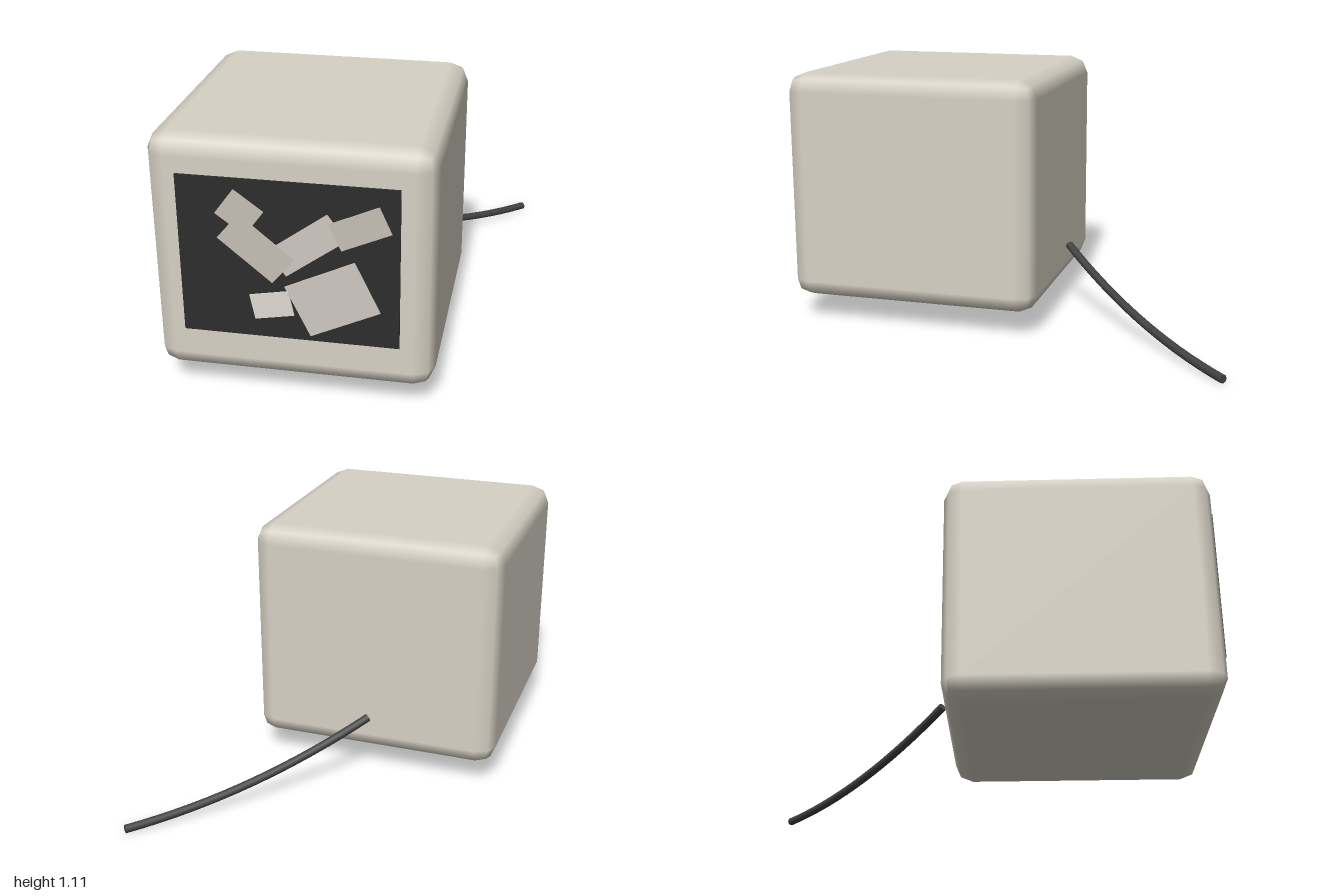
import * as THREE from 'three';
import { RoundedBoxGeometry } from 'three/addons/geometries/RoundedBoxGeometry.js';

function material(name, color, side = THREE.FrontSide) {
  const m = new THREE.MeshStandardMaterial({ color, side });
  m.name = name;
  return m;
}

export function createModel() {
  const model = new THREE.Group();
  model.name = 'monitor';

  const casing = material('casing beige', 0xd6d1c4);
  const glass = material('screen black', 0x2d2d2d);
  const rubber = material('cable grey', 0x424242, THREE.DoubleSide);
  const paperDark = material('shard warm grey', 0xc4c0b5);
  const paperMid = material('shard pale grey', 0xcec8c0);
  const paperLight = material('shard off white', 0xdfdad1);

  function add(name, geometry, mat, x = 0, y = 0, z = 0) {
    const mesh = new THREE.Mesh(geometry, mat);
    mesh.name = name;
    mesh.position.set(x, y, z);
    model.add(mesh);
    return mesh;
  }

  // Softly bevelled casing
  add('casing', new RoundedBoxGeometry(1.112, 1.004, 1.117, 1, 0.08), casing, -0.129, 0.606, 0.398);

  // Thin screen floating just before the casing
  add('screen', new THREE.BoxGeometry(0.851, 0.664, 0.008), glass, -0.13, 0.634, 0.965);

  // Scattered shards on the screen: x, y, z, width, height, turn in degrees
  const shards = [
    [-0.311, 0.832, 0.976, 0.141, 0.126, -36.5, paperDark],
    [-0.25, 0.691, 0.986, 0.272, 0.135, -40, paperDark],
    [-0.057, 0.715, 0.975, 0.29, 0.125, 36, paperMid],
    [0.148, 0.804, 0.98, 0.208, 0.116, 24, paperDark],
    [-0.192, 0.461, 0.996, 0.156, 0.105, 10.8, paperLight],
    [0.04, 0.497, 0.98, 0.3, 0.228, 25.3, paperMid],
  ];
  shards.forEach(([x, y, z, w, h, turn, mat], i) => {
    const shard = add(`shard${i + 1}`, new THREE.BoxGeometry(w, h, 0.005), mat, x, y, z);
    shard.rotation.z = THREE.MathUtils.degToRad(turn);
  });

  // Cable sagging diagonally away from the back
  const path = new THREE.QuadraticBezierCurve3(
    new THREE.Vector3(-0.125, 0.285, -0.19),
    new THREE.Vector3(0.27, 0.04, -0.585),
    new THREE.Vector3(0.667, 0.02, -0.988),
  );
  const radius = 0.018;
  add('cable', new THREE.TubeGeometry(path, 16, radius, 8), rubber);

  // Flat cable ends
  for (const [t, sign] of [[0, -1], [1, 1]]) {
    const end = path.getPoint(t);
    const cap = add('cableEnd', new THREE.CircleGeometry(radius, 8), rubber, end.x, end.y, end.z);
    cap.lookAt(end.clone().addScaledVector(path.getTangent(t), sign));
  }

  return model;
}
